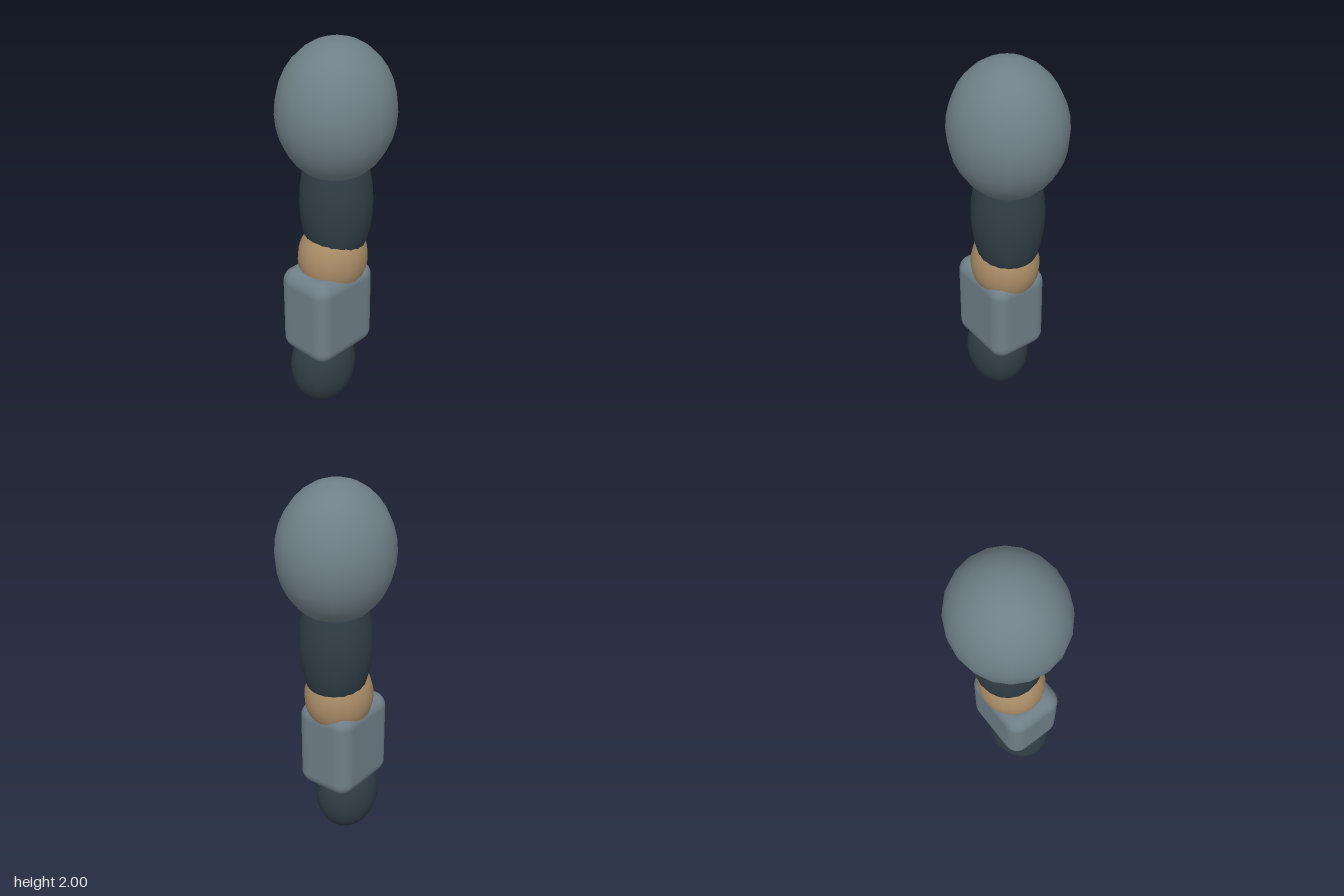
import * as THREE from 'three';
import { RoundedBoxGeometry } from 'three/addons/geometries/RoundedBoxGeometry.js';

const steel = new THREE.MeshStandardMaterial({ color: 0x6f7f88 });
const dark = new THREE.MeshStandardMaterial({ color: 0x303d46 });
const tan = new THREE.MeshStandardMaterial({ color: 0xa88b66 });

// Smooth ellipsoid with radii [x, y, z], centred at height y and depth z
function ellipsoid(name, [rx, ry, rz], y, z, material) {
  const geometry = new THREE.SphereGeometry(1, 20, 16).scale(rx, ry, rz);
  const mesh = new THREE.Mesh(geometry, material);
  mesh.name = name;
  mesh.position.set(0, y, z);
  return mesh;
}

export function createModel() {
  const arm = new THREE.Group();
  arm.name = 'arm';

  arm.add(
    ellipsoid('shoulder', [0.286, 0.35, 0.3], 1.65, 0, steel),
    ellipsoid('upperArm', [0.185, 0.385, 0.185], 1.17, 0, dark),
    ellipsoid('elbow', [0.174, 0.205, 0.185], 0.86, 0.025, tan),
    ellipsoid('hand', [0.16, 0.225, 0.185], 0.225, 0.1, dark),
  );

  // Boxy forearm guard with rounded edges, set slightly forward
  const forearm = new THREE.Mesh(new RoundedBoxGeometry(0.32, 0.485, 0.4, 4, 0.075), steel);
  forearm.name = 'forearm';
  forearm.position.set(0, 0.578, 0.065);
  arm.add(forearm);

  return arm;
}
